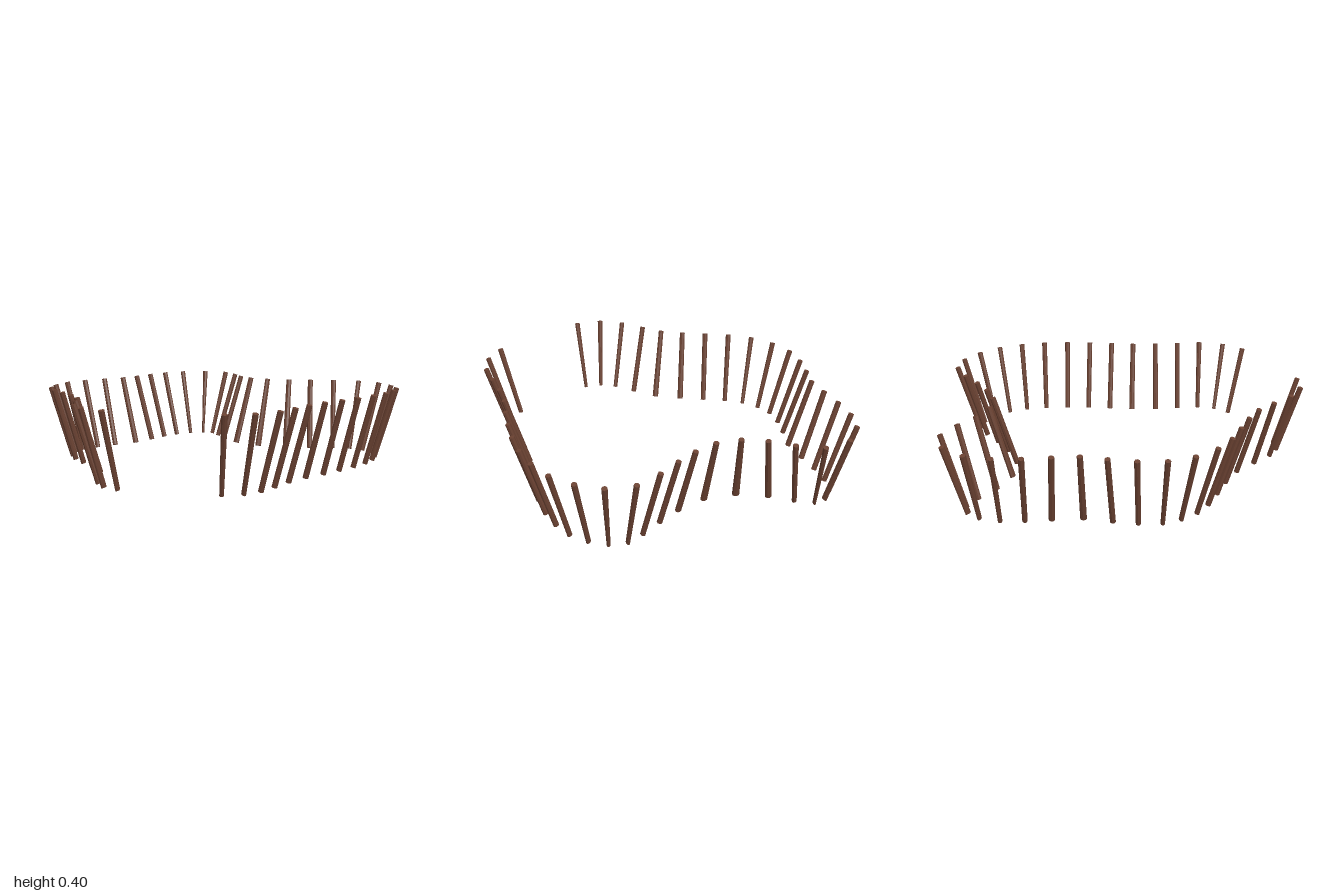
import * as THREE from 'three';

// One post per row: top x, top z, outward lean direction in degrees (0 = +x, 90 = +z)
const POSTS = [
  [-0.965, 0.4, 162], [-0.985, 0.257, 187], [-0.94, 0.123, 210], [-0.853, 0.003, 217],
  [-0.78, -0.103, 205], [-0.738, -0.228, 193], [-0.707, -0.363, 191], [-0.673, -0.5, 195],
  [-0.615, -0.63, 211], [-0.52, -0.74, 231], [-0.398, -0.815, 253], [-0.258, -0.843, 265],
  [-0.118, -0.845, 272], [0.014, -0.84, 264], [0.143, -0.875, 253], [0.277, -0.915, 257],
  [0.416, -0.942, 267], [0.555, -0.932, 283], [0.685, -0.858, 317], [0.743, -0.72, 360],
  [0.703, -0.58, 382], [0.645, -0.458, 381], [0.613, -0.33, 363], [0.632, -0.202, 341],
  [0.702, -0.09, 322], [0.787, 0.005, 315], [0.885, 0.102, 317], [0.973, 0.222, 341],
  [0.983, 0.37, 369], [0.93, 0.505, 391], [0.84, 0.62, 409], [0.722, 0.7, 425],
  [0.592, 0.755, 435], [0.453, 0.79, 440], [0.315, 0.81, 444], [0.18, 0.825, 445],
  [0.047, 0.835, 443], [-0.088, 0.862, 437], [-0.22, 0.902, 437], [-0.353, 0.94, 443],
  [-0.5, 0.933, 465], [-0.625, 0.867, 484],
];
const HEIGHT = 0.39, LEAN = 0.115, RADIUS = 0.0148;

export function createModel() {
  const group = new THREE.Group();
  group.name = 'palisade';
  const wood = new THREE.MeshStandardMaterial({ color: 0x6b4232, flatShading: true });
  const length = Math.hypot(HEIGHT, LEAN), tilt = Math.atan2(LEAN, HEIGHT);

  const posts = POSTS.map(([x, z, deg]) => {
    const a = THREE.MathUtils.degToRad(deg);
    const top = new THREE.Vector2(x, z);
    const foot = new THREE.Vector2(x - Math.cos(a) * LEAN, z - Math.sin(a) * LEAN);
    return { a, top, foot };
  });

  posts.forEach(({ a, top, foot }, i) => {
    // The foot narrows or widens along the row as the row bends
    const prev = posts[Math.max(i - 1, 0)], next = posts[Math.min(i + 1, posts.length - 1)];
    const squeeze = prev.foot.distanceTo(next.foot) / prev.top.distanceTo(next.top);

    const geo = new THREE.CylinderGeometry(RADIUS, RADIUS, length, 8);
    const pos = geo.attributes.position;
    for (let v = 0; v < pos.count; v++) {
      if (pos.getY(v) < 0) pos.setX(v, pos.getX(v) * squeeze);
    }
    geo.rotateX(tilt).rotateY(Math.PI / 2 - a);

    const post = new THREE.Mesh(geo, wood);
    post.name = `post${i + 1}`;
    post.position.set((top.x + foot.x) / 2, HEIGHT / 2 + RADIUS * Math.sin(tilt), (top.y + foot.y) / 2);
    group.add(post);
  });
  return group;
}
